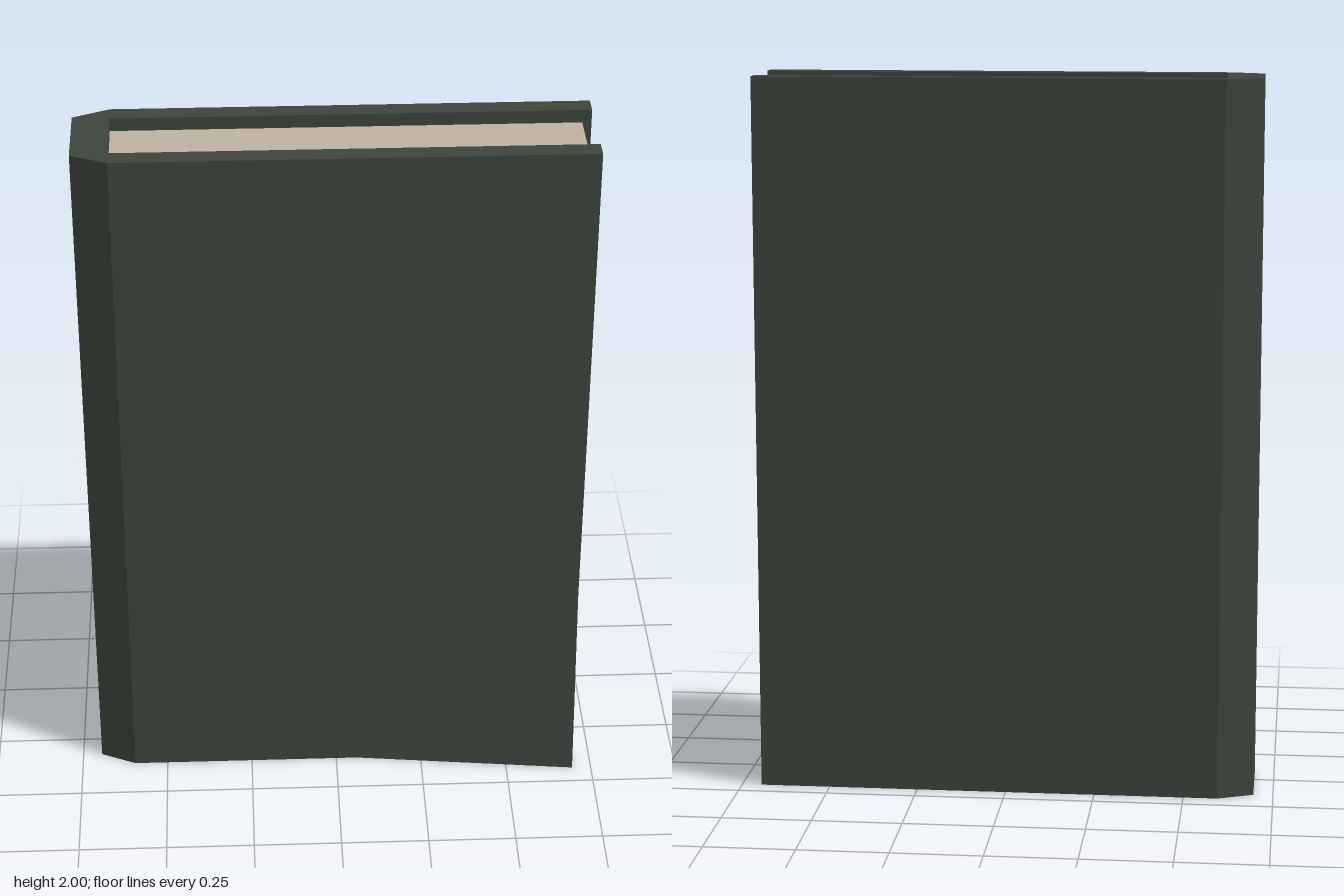
import * as THREE from 'three';

const coverMat = new THREE.MeshStandardMaterial({ color: 0x3d453d });
coverMat.name = 'dark green cover';
const paperMat = new THREE.MeshStandardMaterial({ color: 0xbfb3a1 });
paperMat.name = 'cream paper';

const HEIGHT = 2;
const SPINE = -0.695, HINGE = -0.595, EDGE = 0.695; // x positions
const BACK_OUT = -0.19, BACK_IN = -0.135, FRONT_IN = 0.063, FRONT_OUT = 0.118; // z positions
const PAGE_EDGE = 0.67, INSET = 0.037;

function part(name, geometry, material) {
  const mesh = new THREE.Mesh(geometry, material);
  mesh.name = name;
  return mesh;
}

// Flat-shaded surface from counter-clockwise polygons, each fanned from its first corner
function faces(polygons) {
  const pos = [];
  for (const p of polygons) {
    for (let i = 1; i < p.length - 1; i++) pos.push(...p[0], ...p[i], ...p[i + 1]);
  }
  const g = new THREE.BufferGeometry();
  g.setAttribute('position', new THREE.Float32BufferAttribute(pos, 3));
  g.computeVertexNormals();
  return g;
}

export function createModel() {
  const book = new THREE.Group();
  book.name = 'book';

  // Chamfered spine and back board, one profile (x, -z) extruded upwards
  const profile = [
    [HINGE, FRONT_OUT], [HINGE, BACK_IN], [EDGE, BACK_IN], [EDGE, BACK_OUT],
    [HINGE, BACK_OUT], [SPINE, -0.145], [SPINE, 0.072],
  ].map(([x, z]) => new THREE.Vector2(x, -z));
  const spine = new THREE.ExtrudeGeometry(new THREE.Shape(profile), { depth: HEIGHT, bevelEnabled: false });
  spine.rotateX(-Math.PI / 2);
  book.add(part('spineAndBackCover', spine, coverMat));

  // Front board: outer corners, with the lower free corner lifted along a diagonal crease
  const outLow = [HINGE, 0, FRONT_OUT], outHigh = [HINGE, HEIGHT, FRONT_OUT];
  const outTop = [EDGE, HEIGHT, FRONT_OUT];
  const creaseLow = [0.06, 0, FRONT_OUT], creaseHigh = [EDGE, 0.58, FRONT_OUT];
  const tip = [EDGE, 0, 0.19];
  // Inner corners
  const inLow = [HINGE, 0, FRONT_IN], inHigh = [HINGE, HEIGHT, FRONT_IN];
  const inTop = [EDGE, HEIGHT, FRONT_IN], inBend = [EDGE, 0.5, FRONT_IN];
  const inTip = [EDGE, 0, 0.135];
  const pageCorner = [PAGE_EDGE, INSET, FRONT_IN], pageHinge = [HINGE, INSET, FRONT_IN];

  book.add(part('frontCover', faces([
    [outLow, creaseLow, creaseHigh, outTop, outHigh],       // flat front
    [creaseLow, tip, creaseHigh],                           // lifted corner
    [inBend, inTop, outTop, creaseHigh, tip, inTip],        // free edge
    [creaseLow, outLow, inLow, inTip, tip],                 // bottom edge
    [outHigh, outTop, inTop, inHigh],                       // top edge
    [inHigh, inTop, inBend, pageCorner, pageHinge],         // inside
    [inBend, inTip, pageCorner],                            // inside of lifted corner
  ]), coverMat));

  // Paper strip joining the pages to the lifted bottom edge
  book.add(part('endpaper', faces([[inLow, pageHinge, pageCorner, inTip]]), paperMat));

  // Page block
  const pages = new THREE.BoxGeometry(PAGE_EDGE - HINGE, HEIGHT - 2 * INSET, FRONT_IN - BACK_IN);
  pages.translate((PAGE_EDGE + HINGE) / 2, HEIGHT / 2, (FRONT_IN + BACK_IN) / 2);
  book.add(part('pages', pages, paperMat));

  return book;
}
